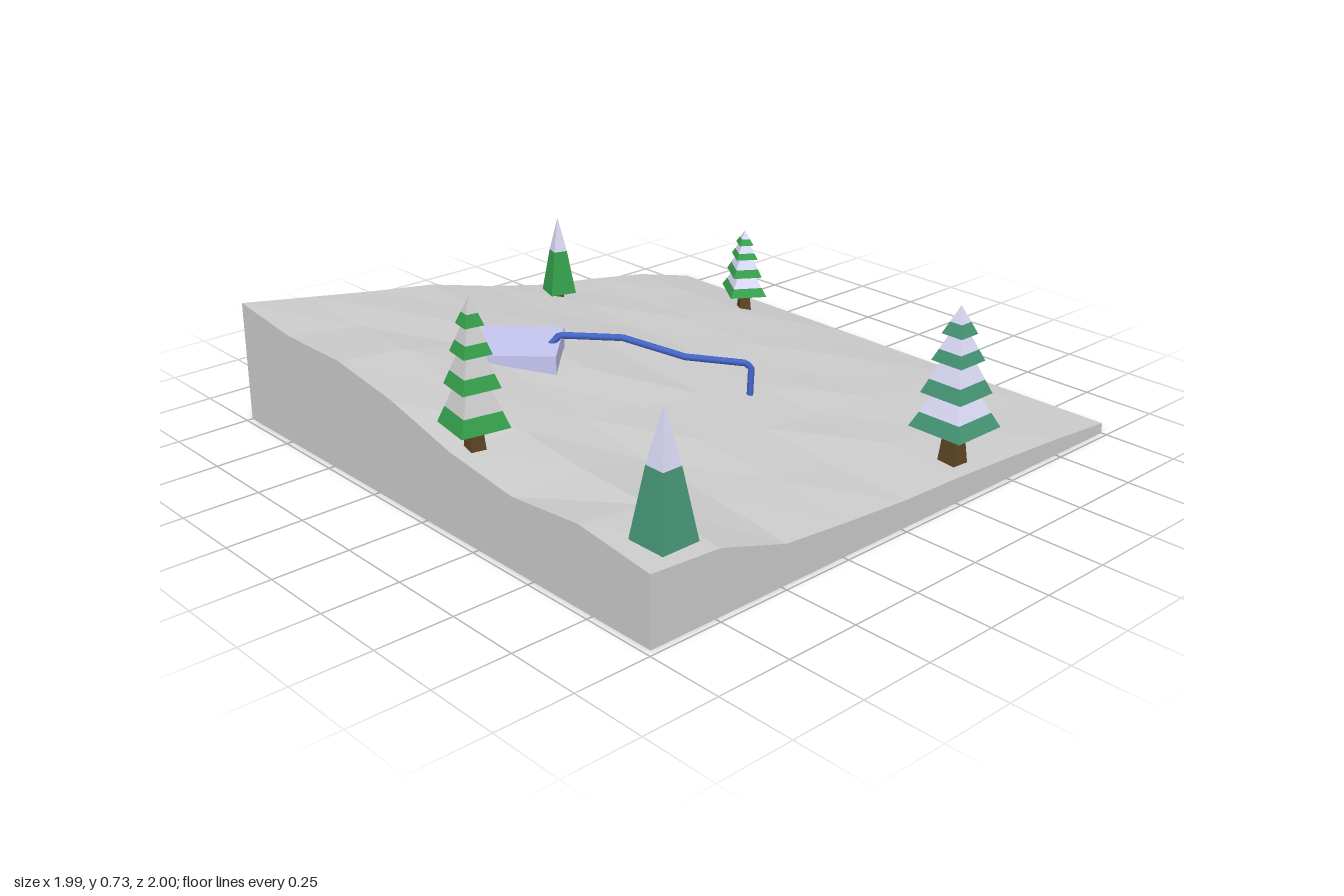
import * as THREE from 'three';

const mat = (color, extra = {}) => new THREE.MeshStandardMaterial({ color, flatShading: true, ...extra });
const GREY = 0xcccccc, SNOW = 0xd8d8f4, GREEN = 0x35a04c, TEAL = 0x459575, BARK = 0x5c4424;

function addMesh(parent, name, geometry, material) {
  const mesh = new THREE.Mesh(geometry, material);
  mesh.name = name;
  parent.add(mesh);
  return mesh;
}

// Terrain heights: left and right edge profiles from back to front, blended across x
const LEFT = [0.035, 0.1, 0.14, 0.175, 0.23, 0.295, 0.33, 0.37, 0.41];
const RIGHT = [0.035, 0.055, 0.07, 0.083, 0.09, 0.107, 0.128, 0.205, 0.22];
const MIDDLE_BLEND = [1, 0.93, 0.84, 0.64, 0.45, 0.28, 0.14, 0];
const FRONT_BLEND = [1, 0.82, 0.82, 0.6, 0.24, 0.05, 0.18, 0];

function groundHeight(i, j) {
  const f = Math.max(0, (j - 6) / 2);
  const w = THREE.MathUtils.lerp(MIDDLE_BLEND[i], FRONT_BLEND[i], f);
  const inside = i > 0 && i < 7 && j > 0 && j < 8;
  const bump = inside ? 0.006 * Math.sin(i * 2.3 + j * 4.1) : 0;
  return THREE.MathUtils.lerp(RIGHT[j], LEFT[j], w) + bump;
}

function makeGround() {
  const size = 1.98;
  const geo = new THREE.BoxGeometry(size, 1, size, 7, 1, 8);
  const p = geo.attributes.position;
  for (let k = 0; k < p.count; k++) {
    const i = Math.round((p.getX(k) / size + 0.5) * 7);
    const j = Math.round((p.getZ(k) / size + 0.5) * 8);
    p.setY(k, p.getY(k) > 0 ? groundHeight(i, j) : 0);
  }
  geo.translate(-0.01, 0, -0.01);
  geo.computeVertexNormals();
  return geo;
}

// Square frustum with unit base half-width, between heights y0 and y1
function frustum(y0, y1, half0, half1, open = false) {
  const geo = new THREE.CylinderGeometry(half1 * Math.SQRT2, half0 * Math.SQRT2, y1 - y0, 4, 1, open, Math.PI / 4);
  return geo.translate(0, (y0 + y1) / 2, 0);
}

function startTree(name, t) {
  const tree = new THREE.Group();
  tree.name = name;
  tree.position.set(t.x, 0, t.z);
  tree.rotation.y = t.turn;
  tree.scale.set(t.halfX, 1, t.halfZ);
  addMesh(tree, 'trunk', frustum(t.base - 0.01, t.skirts[0] + 0.02, 0.34, 0.2), mat(t.bark));
  return tree;
}

// Tree of stacked tiers, each a leafy hem below a snowy slope
function tieredTree(name, t) {
  const tree = startTree(name, t);
  const widths = [1, 0.78, 0.58, 0.39], tops = [0.48, 0.36, 0.22, 0];
  widths.forEach((w, i) => {
    const y0 = t.skirts[i], y1 = t.skirts[i + 1];
    const ym = THREE.MathUtils.lerp(y0, y1, 0.42);
    const wm = THREE.MathUtils.lerp(w, tops[i], 0.42);
    addMesh(tree, 'leafBand' + (i + 1), frustum(y0, ym, w, wm), mat(t.leaf));
    addMesh(tree, 'snowBand' + (i + 1), frustum(ym, y1, wm, tops[i], true), mat(t.snow));
  });
  return tree;
}

// Slim pyramid tree with a snowy tip
function pyramidTree(name, t) {
  const tree = startTree(name, t);
  const [y0, y1] = t.skirts;
  const ym = THREE.MathUtils.lerp(y0, y1, 0.56);
  addMesh(tree, 'foliage', frustum(y0, ym, 1, 0.51), mat(t.leaf));
  addMesh(tree, 'snowCap', frustum(ym, y1, 0.51, 0, true), mat(t.snow));
  return tree;
}

export function createModel() {
  const model = new THREE.Group();
  model.name = 'snowyHillside';
  addMesh(model, 'ground', makeGround(), mat(GREY));

  // Flat slab partly sunk into the slope
  const slab = addMesh(model, 'sunkenSlab', new THREE.BoxGeometry(0.265, 0.1, 0.265), mat(0xc4c4ee));
  slab.position.set(-0.335, 0.257, 0.365);
  slab.rotation.y = Math.PI / 4;

  // Bent pipe running from the slab down to the ground
  const points = [
    [-0.255, 0.3, 0.3], [-0.24, 0.33, 0.275], [-0.12, 0.312, 0.11],
    [0.08, 0.28, 0.02], [0.185, 0.243, -0.15], [0.195, 0.225, -0.165], [0.195, 0.125, -0.16],
  ].map((p) => new THREE.Vector3(...p));
  const path = new THREE.CurvePath();
  for (let i = 1; i < points.length; i++) path.add(new THREE.LineCurve3(points[i - 1], points[i]));
  addMesh(model, 'pipe', new THREE.TubeGeometry(path, 80, 0.011, 8), mat(0x4464c8, { flatShading: false }));
  [points[0], points[points.length - 1]].forEach((p) => {
    addMesh(model, 'pipeEnd', new THREE.SphereGeometry(0.011, 8, 6), mat(0x4464c8)).position.copy(p);
  });

  // Trees
  model.add(
    tieredTree('frontTree', {
      x: 0.15, z: 0.905, turn: -0.17, halfX: 0.078, halfZ: 0.078, base: 0.25,
      skirts: [0.335, 0.455, 0.555, 0.64, 0.725], leaf: GREEN, snow: GREY, bark: BARK }),
    tieredTree('leftSideTree', {
      x: 0.895, z: -0.33, turn: 0, halfX: 0.098, halfZ: 0.098, base: 0.08,
      skirts: [0.2, 0.31, 0.415, 0.5, 0.59], leaf: TEAL, snow: SNOW, bark: BARK }),
    tieredTree('backTree', {
      x: -0.495, z: -0.82, turn: -0.59, halfX: 0.087, halfZ: 0.067, base: 0.075,
      skirts: [0.15, 0.22, 0.285, 0.335, 0.385], leaf: GREEN, snow: SNOW, bark: BARK }),
    pyramidTree('cornerTree', {
      x: 0.91, z: 0.87, turn: 0, halfX: 0.066, halfZ: 0.064, base: 0.2,
      skirts: [0.25, 0.63], leaf: TEAL, snow: SNOW, bark: 0x80583a }),
    pyramidTree('rightSideTree', {
      x: -0.84, z: -0.21, turn: -0.32, halfX: 0.047, halfZ: 0.047, base: 0.165,
      skirts: [0.205, 0.485], leaf: GREEN, snow: SNOW, bark: BARK }),
  );
  return model;
}
